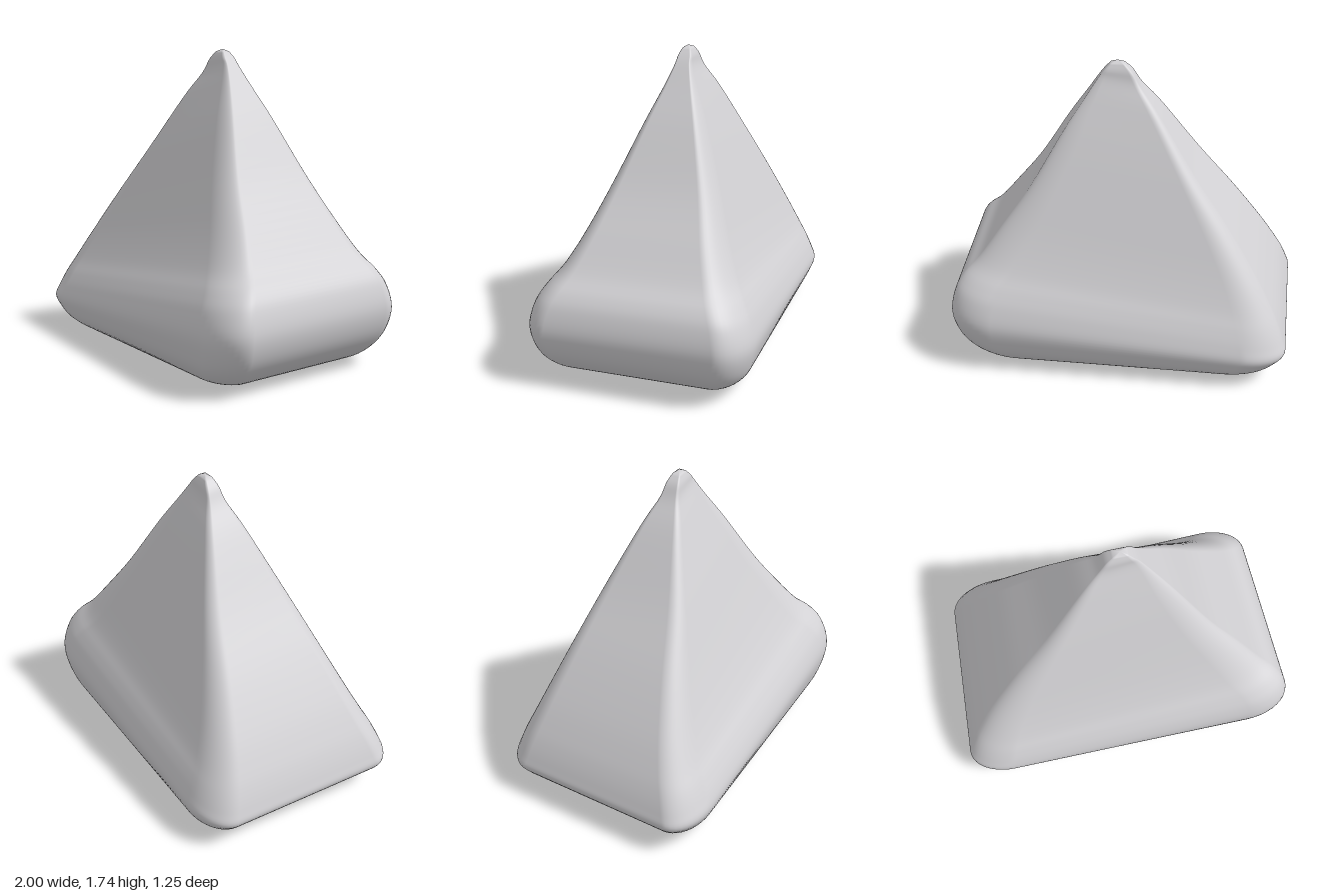
import * as THREE from 'three';

const CORNER = 0.26;  // corner radius as a share of the half size
const ARC = 10;       // segments per rounded corner
const STEPS = 64;     // rings up the body

// Tilted rings from base to tip: left x, y, half depth, then right x, y, half depth
const RINGS = [
  [-0.67, 0, 0.40, 0.65, 0, 0.40],
  [-0.81, 0.03, 0.505, 0.80, 0.045, 0.51],
  [-0.91, 0.08, 0.575, 0.90, 0.12, 0.575],
  [-0.97, 0.14, 0.61, 0.97, 0.22, 0.61],
  [-1.0, 0.19, 0.625, 1.0, 0.345, 0.625],
  [-0.985, 0.25, 0.605, 0.975, 0.47, 0.595],
  [-0.95, 0.34, 0.57, 0.925, 0.555, 0.545],
  [-0.90, 0.44, 0.525, 0.83, 0.65, 0.475],
  [-0.80, 0.61, 0.455, 0.70, 0.82, 0.39],
  [-0.63, 0.86, 0.36, 0.53, 1.05, 0.295],
  [-0.42, 1.14, 0.255, 0.34, 1.36, 0.17],
  [-0.20, 1.46, 0.128, 0.22, 1.54, 0.09],
  [-0.09, 1.60, 0.062, 0.15, 1.645, 0.05],
  [-0.04, 1.68, 0.042, 0.115, 1.69, 0.04],
  [0.005, 1.725, 0.024, 0.082, 1.725, 0.024],
];

// Unit rounded rectangle, running from +x towards +z
function unitOutline() {
  const pts = [];
  const centres = [[1, 1], [-1, 1], [-1, -1], [1, -1]];
  centres.forEach(([sx, sz], q) => {
    for (let i = 0; i <= ARC; i++) {
      const a = (q + i / ARC) * Math.PI / 2;
      pts.push([
        sx * (1 - CORNER) + CORNER * Math.cos(a),
        sz * (1 - CORNER) + CORNER * Math.sin(a),
      ]);
    }
  });
  return pts;
}

// Smooth curve up one end of the body, with half depth as z
function endCurve(first) {
  const pts = RINGS.map(r => new THREE.Vector3(...r.slice(first, first + 3)));
  return new THREE.CatmullRomCurve3(pts, false, 'catmullrom');
}

function bodyGeometry() {
  const left = endCurve(0), right = endCurve(3);
  const outline = unitOutline();
  const n = outline.length;
  const positions = [];
  const indices = [];
  let rings = 0;

  const addRing = (t, scale = 1) => {
    const l = left.getPoint(t), r = right.getPoint(t);
    const shift = -0.025 * THREE.MathUtils.smoothstep(t, 0.3, 0.8);
    for (const [u, w] of outline) {
      const p = l.clone().lerp(r, (u * scale + 1) / 2);
      // the plan is slightly narrower at the back
      const taper = 0.98 + 0.026 * w * p.z / 0.62;
      positions.push(p.x * taper, Math.max(0, p.y), w * p.z * scale + shift);
    }
    rings++;
  };

  // flat underside margin, then the body
  addRing(0, 0.85);
  for (let i = 0; i <= STEPS; i++) addRing(i / STEPS);

  for (let i = 0; i < rings - 1; i++) {
    for (let j = 0; j < n; j++) {
      const a = i * n + j, b = i * n + (j + 1) % n;
      indices.push(a, a + n, b, b, a + n, b + n);
    }
  }

  // close the underside and the rounded tip
  const base = positions.length / 3;
  positions.push(0, 0, 0, 0.044, 1.74, -0.025);
  const last = (rings - 1) * n;
  for (let j = 0; j < n; j++) {
    const k = (j + 1) % n;
    indices.push(base, j, k, base + 1, last + k, last + j);
  }

  const geo = new THREE.BufferGeometry();
  geo.setAttribute('position', new THREE.Float32BufferAttribute(positions, 3));
  geo.setIndex(indices);
  geo.computeVertexNormals();
  return geo;
}

export function createModel() {
  const group = new THREE.Group();
  group.name = 'softPyramid';
  const paleGrey = new THREE.MeshStandardMaterial({ color: 0xd3d2d5 });
  paleGrey.name = 'paleGrey';
  const body = new THREE.Mesh(bodyGeometry(), paleGrey);
  body.name = 'body';
  group.add(body);
  return group;
}
